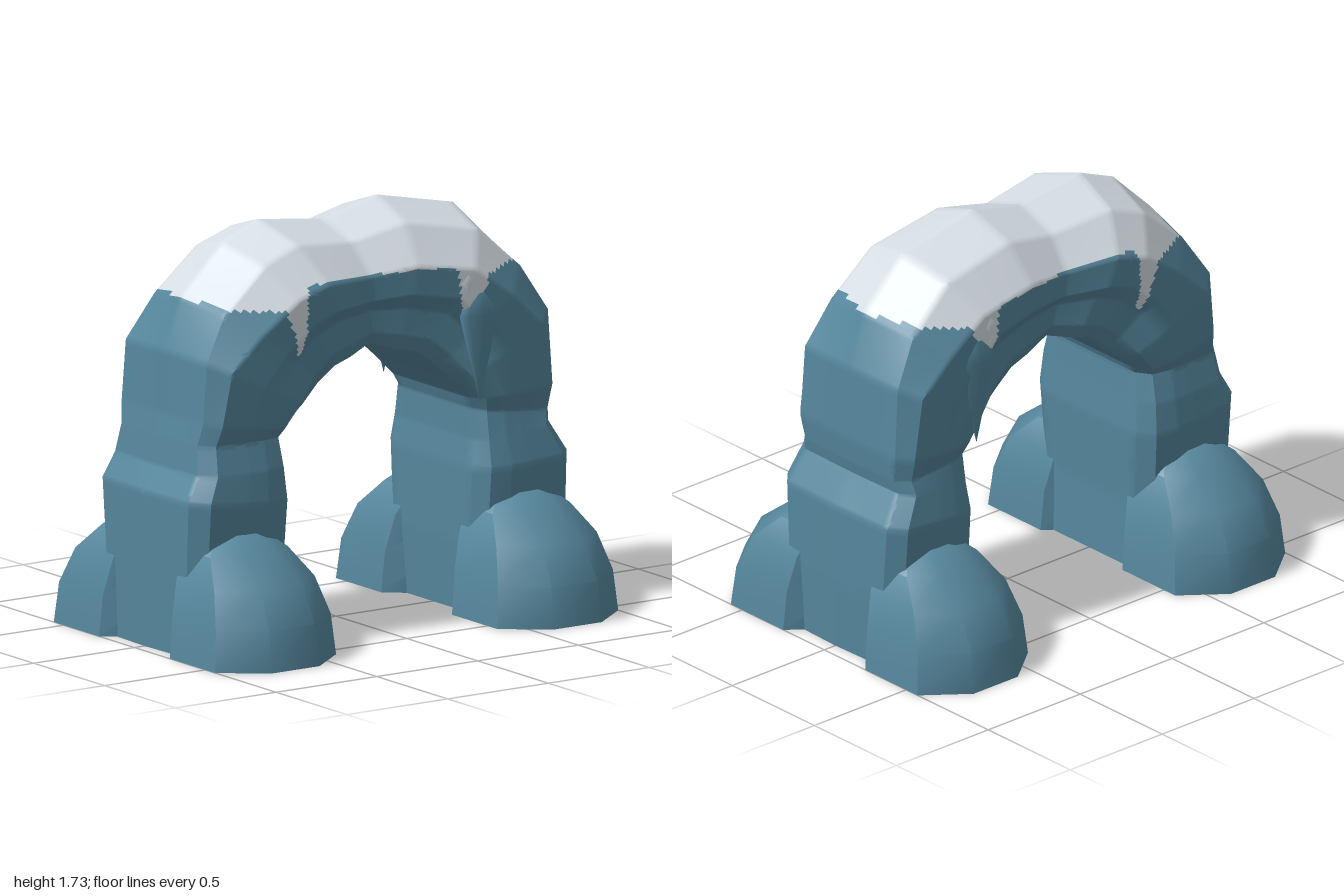
import * as THREE from 'three';
import { toCreasedNormals } from 'three/addons/utils/BufferGeometryUtils.js';

const mat = (name, color) => {
  const m = new THREE.MeshStandardMaterial({ color, side: THREE.DoubleSide });
  m.name = name;
  return m;
};

// Skin a list of closed rings, with n subdivisions each way; isTop(centre) picks the second material group.
function loft(rings, n = 1, isTop = () => false) {
  const pos = [], low = [], top = [];
  const sides = rings[0].length, cols = sides * n, rows = (rings.length - 1) * n;
  const at = (r, c) => {
    const i = Math.min(Math.floor(r / n), rings.length - 2), u = r / n - i;
    const j = Math.floor(c / n) % sides, k = (j + 1) % sides, v = (c % n) / n;
    const p = rings[i][j].clone().lerp(rings[i][k], v);
    return p.lerp(rings[i + 1][j].clone().lerp(rings[i + 1][k], v), u);
  };
  for (let r = 0; r <= rows; r++) for (let c = 0; c < cols; c++) pos.push(...at(r, c).toArray());
  for (let r = 0; r < rows; r++) for (let c = 0; c < cols; c++) {
    const a = r * cols + c, b = r * cols + (c + 1) % cols;
    (isTop(at(r + 0.5, c + 0.5)) ? top : low).push(a, a + cols, b, b, a + cols, b + cols);
  }
  const g = new THREE.BufferGeometry();
  g.setAttribute('position', new THREE.Float32BufferAttribute(pos, 3));
  g.setIndex([...low, ...top]);
  const out = toCreasedNormals(g, 0.7);
  out.clearGroups();
  out.addGroup(0, low.length, 0);
  out.addGroup(low.length, top.length, 1);
  return out;
}

// Arch stations: inner x, y, outer x, y, half depth, roundness (0 leg, 1 crown)
const STATIONS = [
  [-0.44, 0.01, -0.95, 0.01, 0.33, 0],
  [-0.45, 0.3, -0.95, 0.35, 0.35, 0],
  [-0.44, 0.62, -0.955, 0.66, 0.375, 0],
  [-0.455, 0.76, -0.9, 0.76, 0.36, 0],
  [-0.465, 0.88, -0.885, 0.88, 0.33, 0],
  [-0.45, 0.91, -0.87, 0.97, 0.355, 0],
  [-0.36, 0.99, -0.86, 1.23, 0.365, 0.15],
  [-0.28, 1.07, -0.775, 1.44, 0.36, 0.7],
  [-0.2, 1.13, -0.57, 1.64, 0.365, 0.9],
  [-0.12, 1.155, -0.39, 1.715, 0.36, 1],
  [0, 1.19, -0.07, 1.675, 0.31, 1],
  [0.12, 1.155, 0.2, 1.74, 0.34, 1],
  [0.22, 1.13, 0.58, 1.66, 0.355, 0.9],
  [0.3, 1.07, 0.785, 1.46, 0.36, 0.7],
  [0.39, 0.99, 0.87, 1.24, 0.36, 0.15],
  [0.47, 0.91, 0.88, 0.92, 0.355, 0],
  [0.49, 0.86, 0.87, 0.82, 0.33, 0],
  [0.49, 0.73, 0.86, 0.77, 0.35, 0],
  [0.475, 0.62, 0.94, 0.64, 0.375, 0],
  [0.47, 0.3, 0.945, 0.3, 0.35, 0],
  [0.48, 0.01, 0.94, 0.01, 0.33, 0],
];

function archRing([ix, iy, ox, oy, h, k]) {
  const mix = THREE.MathUtils.lerp;
  const half = [ // [across from inner to outer, depth]
    [0, 0.75],
    [0.1, mix(0.95, 0.84, k)],
    [0.3, mix(1, 0.86, k)],
    [mix(0.5, 0.4, k), 1],
    [mix(0.85, 0.6, k), mix(0.98, 1, k)],
    [mix(0.98, 0.87, k), mix(0.81, 0.64, k)],
  ];
  const pt = (t, z) => new THREE.Vector3(mix(ix, ox, t), mix(iy, oy, t), z * h);
  return [
    ...half.map(([t, z]) => pt(t, z)),
    pt(1, 0),
    ...half.slice().reverse().map(([t, z]) => pt(t, -z)),
  ];
}

// Lower edge of the snow, as x, y
const SNOW_EDGE = [
  [-1, 1.45], [-0.78, 1.45], [-0.72, 1.42], [-0.5, 1.41], [-0.45, 1.29], [-0.42, 1.2], [-0.4, 1.22],
  [-0.39, 1.48], [-0.34, 1.5], [0.2, 1.49], [0.36, 1.48], [0.37, 1.36], [0.41, 1.22],
  [0.47, 1.33], [0.52, 1.43], [0.65, 1.45], [1, 1.48],
];
function snowEdge(x) {
  const i = Math.max(1, SNOW_EDGE.findIndex((p) => p[0] >= x));
  const [a, b] = [SNOW_EDGE[i - 1], SNOW_EDGE[i]];
  return a[1] + (b[1] - a[1]) * (x - a[0]) / (b[0] - a[0]);
}

// Foot outline as x, z, from the inner side round the toe
const FOOT = [[0.3, 0.25], [0.3, 0.57], [0.12, 0.71], [-0.12, 0.71], [-0.3, 0.57], [-0.3, 0.25], [-0.12, 0.1], [0.12, 0.1]];

export function createModel() {
  const group = new THREE.Group();
  const rock = mat('rock blue', 0x55869c);
  const snow = mat('snow white', 0xd6dee4);
  const dark = mat('dark earth', 0x46392f);
  const add = (name, geo, material, parent = group) => {
    const m = new THREE.Mesh(geo, material);
    m.name = name;
    parent.add(m);
    return m;
  };

  // Stone arch with its snow cover
  const snowy = (p) => p.y > snowEdge(p.x) && (Math.abs(p.z) > 0.285 || p.y > 1.4);
  add('arch', loft(STATIONS.map(archRing), 12, snowy), [rock, snow]);

  // Foot boulders: y, width scale, depth scale
  const footRings = [
    [0.01, 1, 1], [0.18, 0.95, 0.965], [0.33, 0.83, 0.83], [0.44, 0.64, 0.6], [0.51, 0.38, 0.43], [0.515, 0.02, 0.3],
  ].map(([y, sx, sz]) => FOOT.map(([x, z]) => new THREE.Vector3(x * sx, y, 0.1 + (z - 0.1) * sz)));
  const footGeo = loft(footRings);
  const earthShape = new THREE.Shape(FOOT.map(([x, z]) => new THREE.Vector2(x * 0.85, 0.42 + (z - 0.42) * 0.85)));
  const earthGeo = new THREE.ShapeGeometry(earthShape).rotateX(Math.PI / 2);
  for (const x of [-0.7, 0.7]) {
    for (const turn of [0, Math.PI]) {
      const foot = new THREE.Group();
      foot.name = 'foot';
      foot.position.x = x;
      foot.rotation.y = turn;
      group.add(foot);
      add('footBoulder', footGeo, rock, foot);
      add('footEarth', earthGeo, dark, foot).position.y = 0.065;
    }
    // Dark hollow under each leg
    add('legEarth', new THREE.BoxGeometry(0.4, 0.008, 0.4), dark).position.set(x, 0.06, 0);
  }

  // Hanging spikes on both faces: name, material, x, tip y, height, z, half width, half depth
  const profile = [[0, 0], [0.5, 0.4], [1, 0.8], [0.6, 1], [0, 1.04]].map(([r, y]) => new THREE.Vector2(r, y));
  const spikeGeo = new THREE.LatheGeometry(profile, 8);
  const spikes = [
    ['rockSpike', rock, 0.475, 0.9, 0.46, 0.34, 0.1, 0.03],
    ['snowDrip', snow, 0.41, 1.2, 0.26, 0.335, 0.05, 0.025],
  ];
  for (const [name, m, x, y, height, z, w, d] of spikes) {
    for (const s of [1, -1]) {
      const spike = add(name, spikeGeo, m);
      spike.position.set(x, y, s * z);
      spike.scale.set(w, height, d);
    }
  }
  return group;
}
